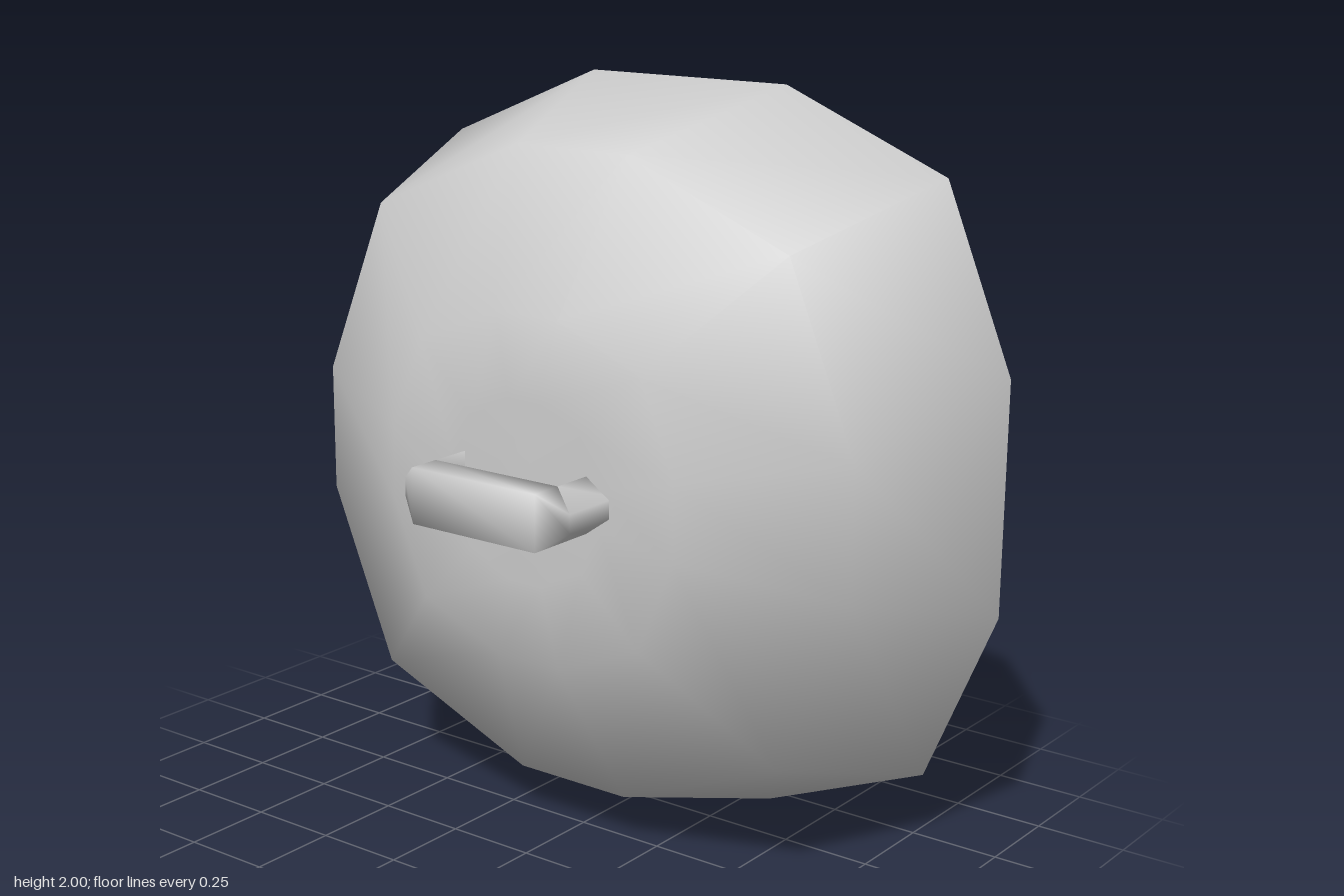
import * as THREE from 'three';

const material = new THREE.MeshStandardMaterial({ color: 0xcccccc });

// Skins a list of closed loops (each an array of [x, y, z]) with smooth normals
function loft(name, loops) {
  const n = loops[0].length;
  const index = [];
  for (let r = 0; r < loops.length - 1; r++) {
    for (let i = 0; i < n; i++) {
      const a = r * n + i, b = r * n + (i + 1) % n;
      index.push(a, b, b + n, a, b + n, a + n);
    }
  }
  const geometry = new THREE.BufferGeometry();
  geometry.setAttribute('position', new THREE.Float32BufferAttribute(loops.flat(2), 3));
  geometry.setIndex(index);
  geometry.computeVertexNormals();
  const mesh = new THREE.Mesh(geometry, material);
  mesh.name = name;
  return mesh;
}

// Twelve-sided loop, counter-clockwise seen from the front:
// distance of the flat sides, their half length, corner offset, depth
function ring([side, half, corner, z]) {
  const quarter = [[side, -half], [side, half], [corner, corner]];
  const points = [];
  for (let q = 0; q < 4; q++) {
    for (let [x, y] of quarter) {
      for (let k = 0; k < q; k++) [x, y] = [-y, x];
      points.push([x, 1 + y, z]);
    }
  }
  return points;
}

export function createModel() {
  const group = new THREE.Group();
  group.name = 'lid';

  // Hollow shell: square inner floor, inner walls, back rim, then the domed outside
  const rings = [
    [0.001, 0.0003, 0.001, 0.05],
    [0.6, 0.2, 0.6, 0.04],
    [0.92, 0.29, 0.735, -0.45],
    [1, 0.315, 0.8, -0.45],
    [0.86, 0.175, 0.66, 0.05],
    [0.46, 0.1, 0.355, 0.235],
    [0.24, 0.05, 0.18, 0.245],
    [0.001, 0.0003, 0.001, 0.25],
  ];
  group.add(loft('shell', rings.map(ring)));

  // Handle: [inner x, inner z, outer x, outer z, outer half height]
  const half = [
    [0.2, 0.21, 0.27, 0.21, 0.025],
    [0.2, 0.36, 0.27, 0.4, 0.025],
    [0.2, 0.36, 0.2, 0.45, 0.075],
  ];
  const section = (side) => ([ix, iz, ox, oz, h]) => [
    [side * ix, 0.93, iz], [side * ix, 1.08, iz],
    [side * ox, 1.005 + h, oz], [side * ox, 1.005 - h, oz],
  ];
  group.add(loft('handle', [...half.map(section(-1)), ...half.map(section(1)).reverse()]));

  return group;
}
